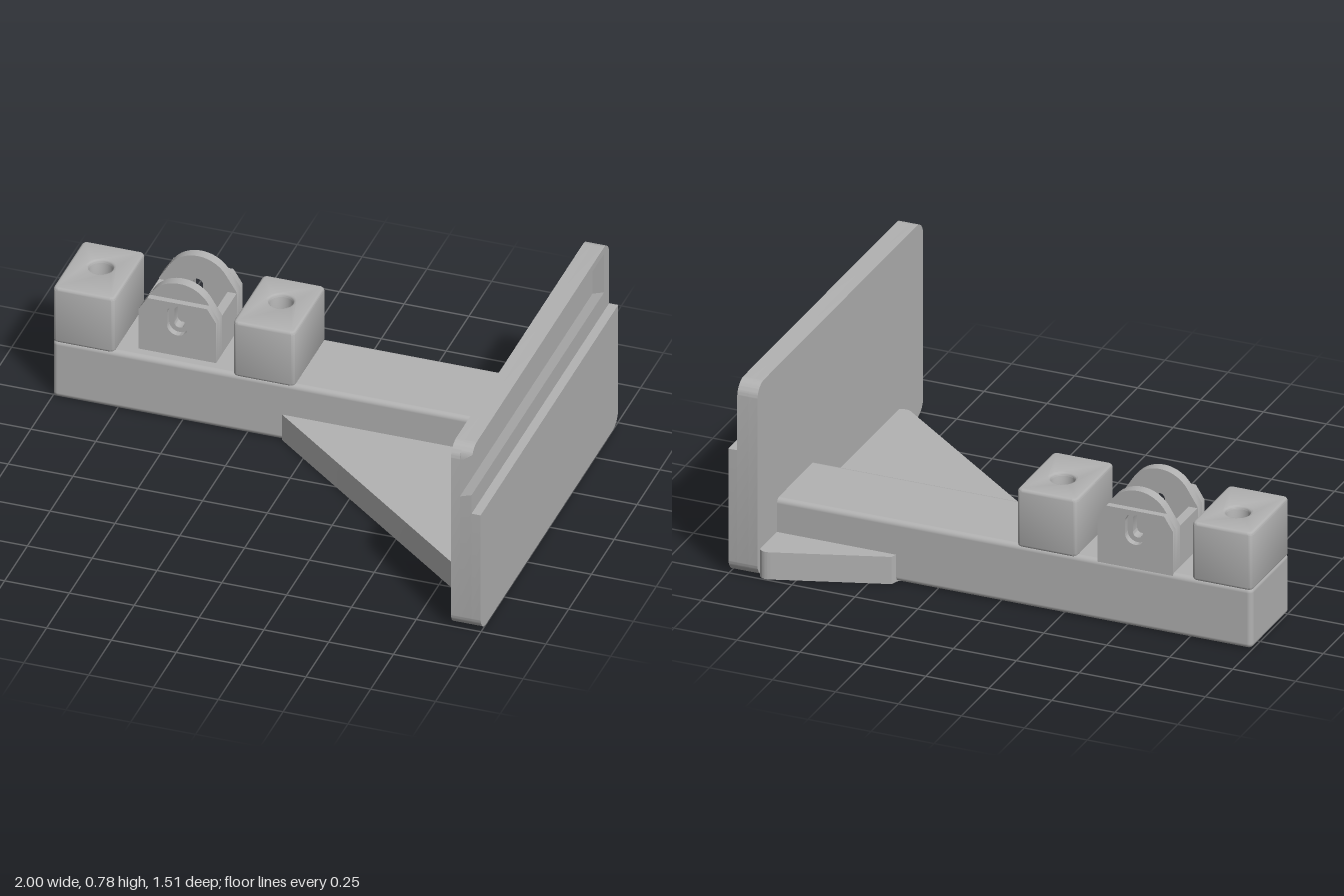
import * as THREE from 'three';
import { toCreasedNormals } from 'three/addons/utils/BufferGeometryUtils.js';
import { RoundedBoxGeometry } from 'three/addons/geometries/RoundedBoxGeometry.js';

export function createModel() {
  const model = new THREE.Group();
  model.name = 'mountingBracket';
  const grey = new THREE.MeshStandardMaterial({ color: 0xb2b2b2 });
  grey.name = 'grey';

  const add = (name, geometry, x = 0, y = 0, z = 0, parent = model) => {
    const mesh = new THREE.Mesh(geometry, grey);
    mesh.name = name;
    mesh.position.set(x, y, z);
    parent.add(mesh);
    return mesh;
  };
  const extrude = (shape, depth, options = {}) =>
    new THREE.ExtrudeGeometry(shape, { depth, bevelEnabled: false, curveSegments: 12, ...options });
  const creased = (g) => toCreasedNormals(g, 0.6);

  // Rounded rectangle; r1 rounds the lower corners, r2 the upper ones
  const roundRect = (x0, y0, x1, y1, r1, r2 = r1) => {
    const s = new THREE.Shape();
    s.moveTo(x0 + r1, y0);
    s.lineTo(x1 - r1, y0);
    s.absarc(x1 - r1, y0 + r1, r1, -Math.PI / 2, 0);
    s.lineTo(x1, y1 - r2);
    if (r2) s.absarc(x1 - r2, y1 - r2, r2, 0, Math.PI / 2);
    s.lineTo(x0 + r2, y1);
    if (r2) s.absarc(x0 + r2, y1 - r2, r2, Math.PI / 2, Math.PI);
    s.lineTo(x0, y0 + r1);
    s.absarc(x0 + r1, y0 + r1, r1, Math.PI, Math.PI * 1.5);
    return s;
  };

  // Arm
  const beam = new RoundedBoxGeometry(1.91, 0.245, 0.342, 4, 0.02);
  add('beam', beam, -0.045, 0.1225, -0.405);

  // Two blocks with a vertical hole
  const b = 0.012;
  const blockShape = roundRect(-0.12, -0.171, 0.12, 0.171, 0.02);
  blockShape.holes.push(new THREE.Path().absarc(0, 0.022, 0.044, 0, Math.PI * 2, true));
  const blockGeo = extrude(blockShape, 0.235 - 2 * b,
    { bevelEnabled: true, bevelThickness: b, bevelSize: b, bevelOffset: -b, bevelSegments: 3 });
  blockGeo.rotateX(-Math.PI / 2);
  const blockSmooth = creased(blockGeo);
  [['outerBlock', -0.88], ['innerBlock', -0.185]].forEach(([name, x]) =>
    add(name, blockSmooth, x, 0.235 + b, -0.405));

  // Clevis between the blocks: two slotted ears joined by side walls
  const clevis = new THREE.Group();
  clevis.name = 'clevis';
  clevis.position.set(-0.535, 0, -0.4275);
  model.add(clevis);

  const slot = (halfWidth, y0, y1) => {
    const p = new THREE.Path();
    p.absarc(0, y1 - halfWidth, halfWidth, 0, Math.PI);
    p.absarc(0, y0 + halfWidth, halfWidth, Math.PI, Math.PI * 2);
    p.closePath();
    return p;
  };
  const earShape = (domed) => {
    const s = new THREE.Shape();
    s.moveTo(-0.15, 0.235);
    s.lineTo(0.15, 0.235);
    s.lineTo(0.15, 0.415);
    s.lineTo(0.115, 0.47);
    if (domed) s.absarc(0, 0.411, 0.129, 0.474, Math.PI - 0.474);
    s.lineTo(-0.115, 0.47);
    s.lineTo(-0.15, 0.415);
    s.closePath();
    s.holes.push(domed ? slot(0.02, 0.352, 0.442) : slot(0.04, 0.333, 0.46));
    return s;
  };
  const web = creased(extrude(earShape(true), 0.04));
  const facing = creased(extrude(earShape(false), 0.025));
  for (const side of [1, -1]) {
    add('earWeb', web, 0, 0, side > 0 ? 0.08 : -0.12, clevis);
    add('earFacing', facing, 0, 0, side > 0 ? 0.12 : -0.145, clevis);
    add('clevisSideWall', new THREE.BoxGeometry(0.035, 0.175, 0.17), side * 0.1325, 0.3225, 0, clevis);
  }

  // Flat gusset under the arm, drawn as x against -z
  const g = new THREE.Shape();
  g.moveTo(-0.115, 0.235);
  g.lineTo(0.825, -0.525);
  g.quadraticCurveTo(0.855, -0.555, 0.885, -0.535);
  g.lineTo(0.885, 0.73);
  g.quadraticCurveTo(0.87, 0.755, 0.83, 0.738);
  g.lineTo(0.42, 0.6);
  g.lineTo(0.41, 0.57);
  g.closePath();
  const gusset = extrude(g, 0.11);
  gusset.rotateX(-Math.PI / 2);
  add('gusset', creased(gusset));

  // End plate in three layers, drawn as -z against y
  const layer = (name, shape, x0, x1, rule) => {
    const geo = extrude(shape, x1 - x0);
    if (rule) {
      const p = geo.attributes.position;
      for (let i = 0; i < p.count; i++) p.setY(i, rule(p.getY(i), p.getZ(i)));
    }
    geo.rotateY(Math.PI / 2);
    add(name, creased(geo), x0);
  };
  const W = 0.755, R = 0.06;
  layer('plateBack', roundRect(-W, 0, W, 0.78, R), 0.885, 0.92);
  layer('plateFront', roundRect(-W, 0, W, 0.505, R, 0), 0.965, 1.0);

  // Middle layer with a groove open at one end
  const lipTop = 0.752, lipBottom = 0.585;
  const angle = Math.asin((lipTop - 0.72) / R);
  const mid = new THREE.Shape();
  mid.moveTo(-W + R, 0);
  mid.lineTo(W - R, 0);
  mid.absarc(W - R, R, R, -Math.PI / 2, 0);
  mid.absarc(W - R, 0.72, R, 0, Math.PI / 2);
  mid.absarc(-W + R, 0.72, R, Math.PI / 2, Math.PI - angle);
  mid.lineTo(0.7, lipTop);
  mid.lineTo(0.7, lipBottom);
  mid.lineTo(-W, lipBottom);
  mid.lineTo(-W, R);
  mid.absarc(-W + R, R, R, Math.PI, Math.PI * 1.5);
  // Undercut the groove walls at its floor
  layer('plateGroove', mid, 0.92, 0.965, (y, depth) => {
    if (depth > 0.01) return y;
    if (Math.abs(y - lipTop) < 1e-4) return 0.72;
    if (Math.abs(y - lipBottom) < 1e-4) return 0.57;
    return y;
  });

  return model;
}
